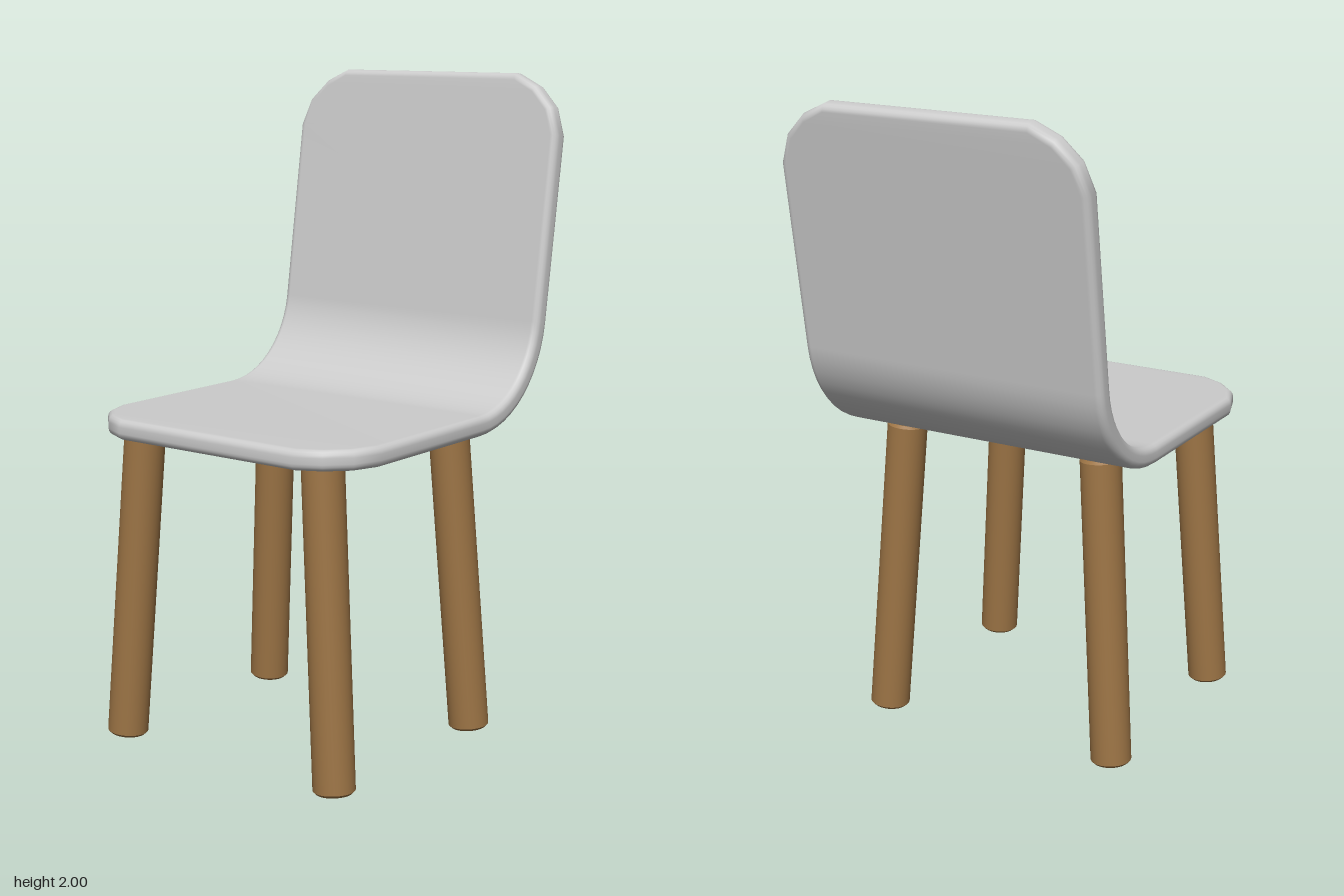
import * as THREE from 'three';
import { toCreasedNormals } from 'three/addons/utils/BufferGeometryUtils.js';

const HALF_WIDTH = 0.495, HALF_THICK = 0.031, EDGE = 0.022;
const SEAT_FRONT = 0.58, SEAT_Y = 0.98;
const SEAT_LEN = 0.695, BEND_R = 0.325, BEND = 1.42, BACK_LEN = 0.752;
const BEND_LEN = BEND_R * BEND, TOTAL = SEAT_LEN + BEND_LEN + BACK_LEN;

// Centre line of the shell: flat seat, circular bend, leaning back
function shellPoint(s, h) {
  const a = THREE.MathUtils.clamp((s - SEAT_LEN) / BEND_R, 0, BEND);
  let z = SEAT_FRONT - Math.min(s, SEAT_LEN) - BEND_R * Math.sin(a);
  let y = SEAT_Y + BEND_R * (1 - Math.cos(a));
  const rest = Math.max(0, s - SEAT_LEN - BEND_LEN);
  z += -rest * Math.cos(a) + h * Math.sin(a);
  y += rest * Math.sin(a) + h * Math.cos(a);
  return [y, z];
}

function shellGeometry() {
  // Outline stations: distance along the shell, half width and outward normal
  const corner = [[0.17, 0, 0, 1], [0.092, 0.037, 0.45, 0.89], [0.03, 0.1, 0.89, 0.45], [0, 0.185, 1, 0]];
  const front = corner.map(([dx, ds, nx, ns]) => ({ s: ds, w: HALF_WIDTH - dx, nx, ns: -ns }));
  const back = front.map((p) => ({ ...p, s: TOTAL - p.s, ns: -p.ns })).reverse();
  const middle = [];
  for (let i = 0; i <= 12; i++) middle.push({ s: SEAT_LEN + BEND_LEN * i / 12, w: HALF_WIDTH, nx: 1, ns: 0 });
  const stations = [...front, ...middle, ...back];

  // Rounded rim, from the underside to the upper side
  const rim = [];
  for (const side of [-1, 1]) {
    for (let i = 0; i <= 4; i++) {
      const a = (side < 0 ? i - 4 : i) * Math.PI / 8;
      rim.push({ inset: EDGE * (1 - Math.cos(a)), h: side * (HALF_THICK - EDGE) + EDGE * Math.sin(a) });
    }
  }

  const K = rim.length, N = K * 2, pos = [], idx = [];
  for (const st of stations) {
    for (let k = 0; k < N; k++) {
      const r = rim[k < K ? k : N - 1 - k];
      const x = (k < K ? 1 : -1) * (st.w - r.inset * st.nx);
      pos.push(x, ...shellPoint(st.s - r.inset * st.ns, r.h));
    }
  }
  const quad = (a, b, c, d) => idx.push(a, b, c, a, c, d);
  const last = (stations.length - 1) * N;
  for (let j = 0; j < last; j += N) {
    for (let k = 0; k < N; k++) {
      const n = (k + 1) % N;
      quad(j + k, j + N + k, j + N + n, j + n);
    }
  }
  // Front and top rims
  for (let k = 0; k < K - 1; k++) {
    quad(k, k + 1, N - 2 - k, N - 1 - k);
    quad(last + k, last + N - 1 - k, last + N - 2 - k, last + k + 1);
  }
  const geo = new THREE.BufferGeometry();
  geo.setAttribute('position', new THREE.Float32BufferAttribute(pos, 3));
  geo.setIndex(idx);
  geo.computeVertexNormals();
  return geo;
}

// Round leg with a small chamfer, running between two points
function makeLeg(name, bottom, top, material) {
  const r = 0.062, c = 0.008;
  const axis = top.clone().sub(bottom), len = axis.length();
  const profile = [[0, 0], [r - c, 0], [r, c], [r, len - c], [r - c, len], [0, len]]
    .map(([x, y]) => new THREE.Vector2(x, y));
  const leg = new THREE.Mesh(toCreasedNormals(new THREE.LatheGeometry(profile, 28), 0.6), material);
  leg.name = name;
  leg.position.copy(bottom);
  leg.quaternion.setFromUnitVectors(new THREE.Vector3(0, 1, 0), axis.normalize());
  return leg;
}

export function createModel() {
  const group = new THREE.Group();
  group.name = 'chair';

  const shell = new THREE.Mesh(shellGeometry(), new THREE.MeshStandardMaterial({ color: 0xcccccc }));
  shell.name = 'seatAndBackShell';
  group.add(shell);

  // Splayed wooden legs
  const wood = new THREE.MeshStandardMaterial({ color: 0x9c7445 });
  for (const [side, sx] of [['Left', 1], ['Right', -1]]) {
    for (const [end, z0, z1] of [['front', 0.487, 0.455], ['back', -0.2, -0.165]]) {
      const bottom = new THREE.Vector3(sx * 0.402, 0.005, z0);
      const top = new THREE.Vector3(sx * 0.336, 0.96, z1);
      group.add(makeLeg(`${end}${side}Leg`, bottom, top, wood));
    }
  }
  return group;
}
